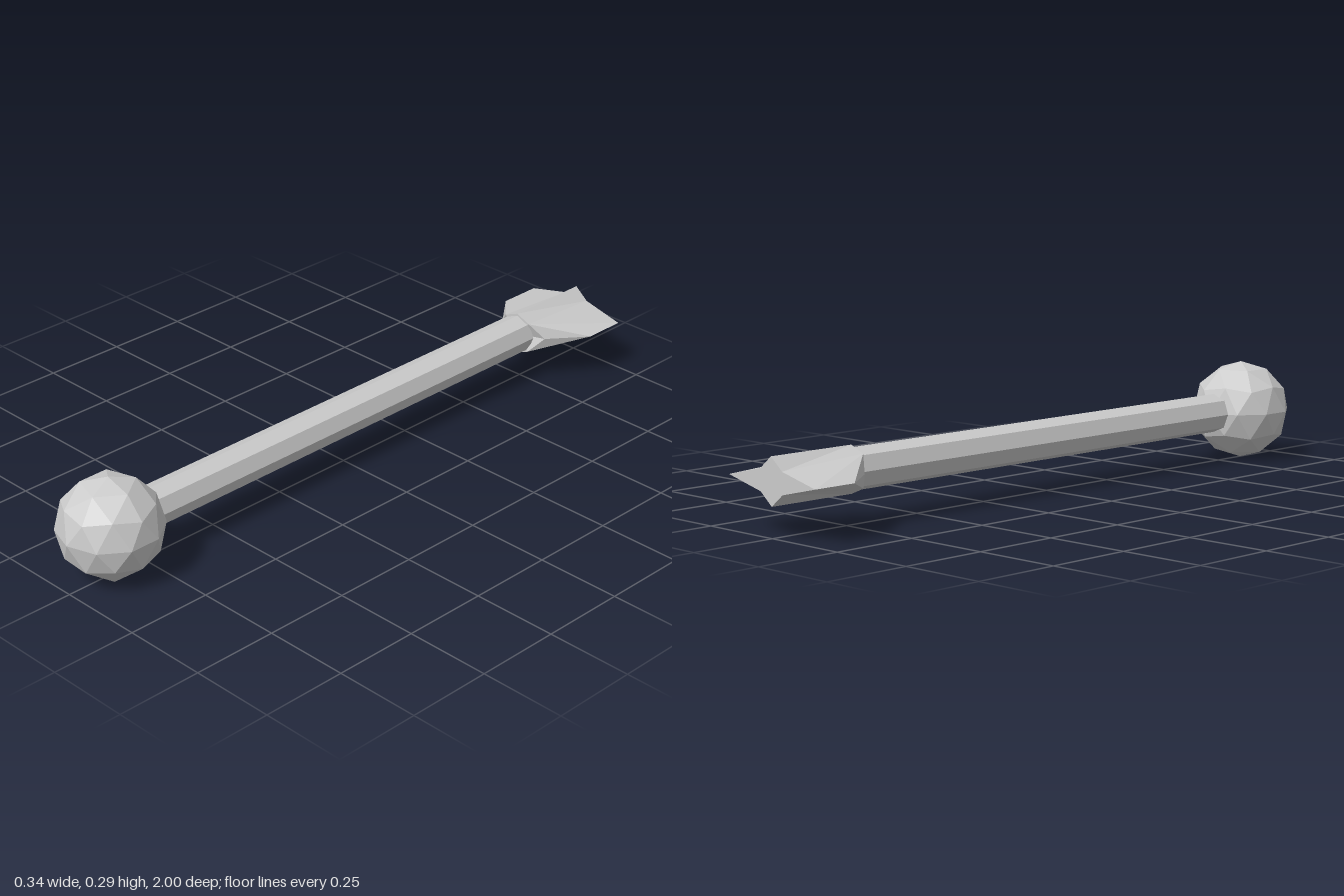
import * as THREE from 'three';

const CY = 0.147; // height of the long axis

// Tail fin block: one quadrant of faces, mirrored to all four
function tailGeometry() {
  const front = -0.73, back = -1;
  const p = {
    cf: [0, 0, front], tf: [0, 0.065, front], nf: [0.046, 0.046, front],
    wf: [0.085, 0, -0.76], wm: [0.17, 0, -0.87], // leading edge of the wing
    cb: [0, 0, back], tb: [0, 0.065, back], nb: [0.043, 0.03, back], wb: [0.17, 0, back],
  };
  const faces = [
    ['cf', 'nf', 'tf'], ['cf', 'wf', 'nf'],                     // front end
    ['tf', 'nf', 'nb'], ['tf', 'nb', 'tb'],                     // upper ridge
    ['nf', 'wf', 'wm'], ['nf', 'wm', 'wb'], ['nf', 'wb', 'nb'], // wing
    ['cb', 'tb', 'nb'], ['cb', 'nb', 'wb'],                     // star-shaped back end
  ];
  const pos = [];
  for (const sx of [1, -1]) for (const sy of [1, -1]) {
    for (const f of faces) {
      const order = sx * sy > 0 ? f : [f[0], f[2], f[1]];
      for (const k of order) pos.push(p[k][0] * sx, p[k][1] * sy, p[k][2]);
    }
  }
  const g = new THREE.BufferGeometry();
  g.setAttribute('position', new THREE.Float32BufferAttribute(pos, 3));
  g.computeVertexNormals();
  return g;
}

export function createModel() {
  const group = new THREE.Group();
  const mat = new THREE.MeshStandardMaterial({ color: 0xcccccc, flatShading: true });
  const add = (name, geo, z) => {
    const m = new THREE.Mesh(geo, mat);
    m.name = name;
    m.position.set(0, CY, z);
    group.add(m);
  };

  // Faceted ball with one vertex straight up
  const ball = new THREE.IcosahedronGeometry(0.147, 1);
  ball.rotateZ(-Math.atan(2 / (1 + Math.sqrt(5))));
  add('ballHead', ball, 0.853);

  // Eight-sided shaft with edges on the axes
  const shaft = new THREE.CylinderGeometry(0.058, 0.058, 1.49, 8);
  shaft.rotateX(Math.PI / 2);
  add('shaft', shaft, 0.005);

  add('tailFins', tailGeometry(), 0);
  return group;
}
